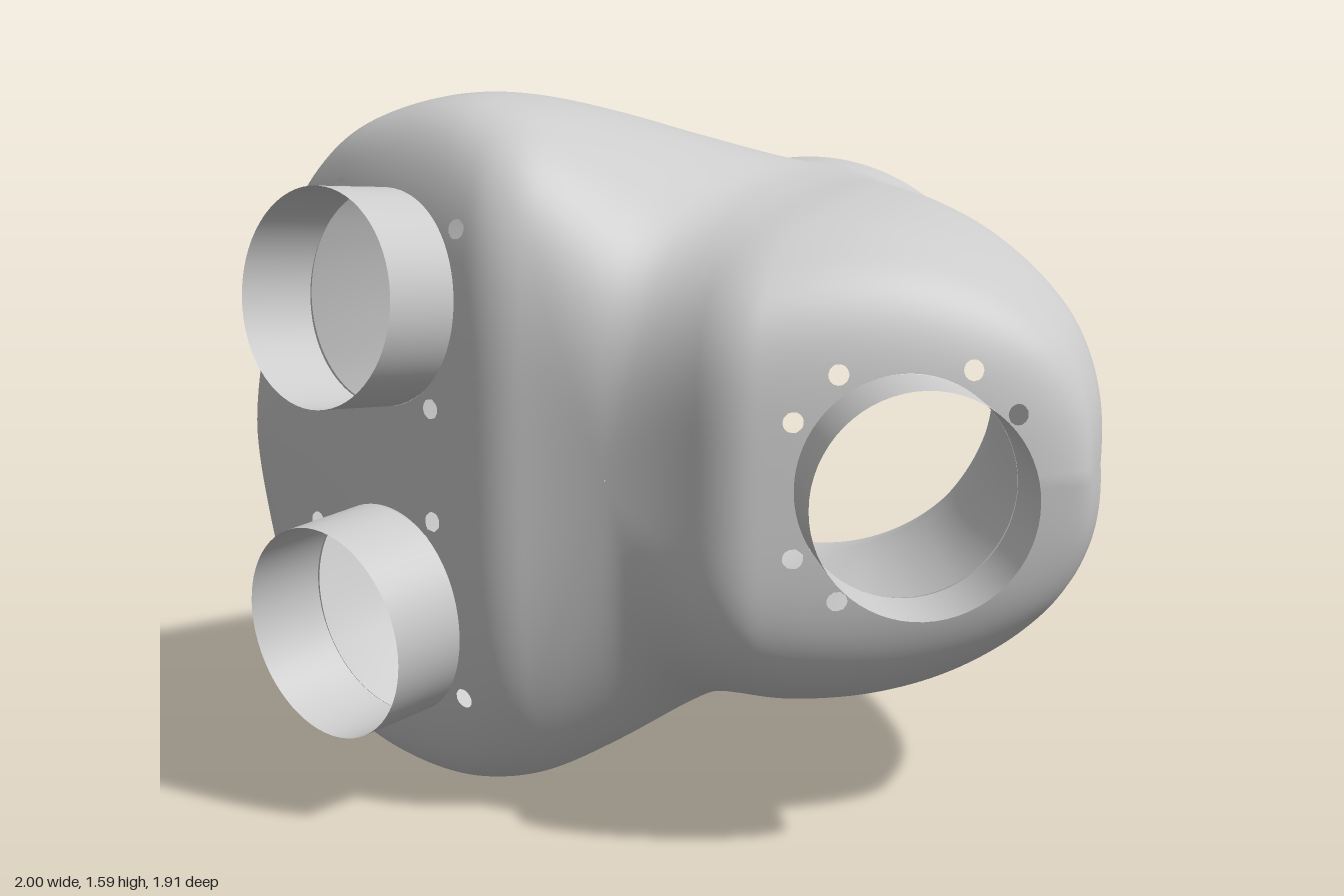
import * as THREE from 'three';

const CY = 0.8;        // height of the symmetry plane
const NECK_R = 0.538;
const material = new THREE.MeshStandardMaterial({ color: 0xcccccc, side: THREE.DoubleSide });
const { lerp, smoothstep } = THREE.MathUtils;

// Short ports on the slanted faces: inner end centre, axis, bolt angles (degrees)
const quad = (...angles) => angles.flatMap(a => [a, a + 90, a + 180, a + 270]);
const ports = [
  { name: 'leftPort', at: [0.64, CY, 0.676], axis: [0.08, 0, 0.175], bolts: quad(31, 59) },
  { name: 'upperRightPort', at: [-0.57, 1.16, 0.68], axis: [-0.077, 0.018, 0.17], bolts: quad(35) },
  { name: 'lowerRightPort', at: [-0.57, 0.44, 0.68], axis: [-0.077, -0.018, 0.17], bolts: quad(-35) },
].map(p => {
  const axis = new THREE.Vector3(...p.axis).normalize();
  const turn = new THREE.Quaternion().setFromUnitVectors(new THREE.Vector3(0, 0, 1), axis);
  return { ...p, at: new THREE.Vector3(...p.at), axis, turn };
});
const PORT_R = 0.245, BOLT_RING = 0.288, BOLT_R = 0.023;

// Every round cut through the front faces
const cuts = ports.flatMap(p => [
  { at: p.at, axis: p.axis, r: PORT_R },
  ...p.bolts.map(deg => {
    const a = THREE.MathUtils.degToRad(deg);
    const offset = new THREE.Vector3(Math.cos(a), Math.sin(a), 0).multiplyScalar(BOLT_RING);
    return { at: offset.applyQuaternion(p.turn).add(p.at), axis: p.axis, r: BOLT_R };
  }),
]);
const tmp = new THREE.Vector3();
function cutDistance(v) {
  if (v.z < 0.4) return 1;
  let d = 1;
  for (const c of cuts) d = Math.min(d, tmp.subVectors(v, c.at).cross(c.axis).length() - c.r);
  return d;
}

// Widest outline: tall lobe at -x, lower lobe at +x, mirrored top to bottom
function outline(count) {
  const top = [[1, 0], [0.985, 0.15], [0.93, 0.28], [0.84, 0.38], [0.7, 0.475], [0.55, 0.535],
    [0.4, 0.565], [0.25, 0.575], [0.15, 0.592], [0.05, 0.635], [-0.1, 0.71], [-0.25, 0.77],
    [-0.43, 0.797], [-0.6, 0.765], [-0.74, 0.695], [-0.86, 0.56], [-0.92, 0.42], [-0.975, 0.2], [-1, 0]];
  const bottom = top.slice(1, -1).reverse().map(([x, y]) => [x, -y]);
  const pts = [...top, ...bottom].map(([x, y]) => new THREE.Vector3(x, y, 0));
  return new THREE.CatmullRomCurve3(pts, true).getSpacedPoints(count).slice(0, count);
}

// Depth at which the shell is widest: further back above and below the low lobe
const steepness = p => Math.abs(p.y) / p.length();
function girthDepth(p) {
  return lerp(0.38, 0, steepness(p) * smoothstep(p.x / p.length(), -0.35, 0.2));
}

// Depth of the front: two slanted faces with a shallow saddle between them
function smoothMin(a, b, k) {
  const h = Math.max(k - Math.abs(a - b), 0) / k;
  return Math.min(a, b) - h * h * k / 4;
}
function frontDepth(x) {
  const saddle = 0.797 + 0.6 * x * x;
  return smoothMin(smoothMin(0.953 + 0.46 * x, 0.975 - 0.465 * x, 0.02), saddle, 0.05);
}

// Domed front: the edge is crisp at the sides and softer at top and bottom
function frontPoint(p, t) {
  const rho = Math.sin(t * Math.PI / 2);
  const n = lerp(6.5, 2.9, steepness(p));
  const x = p.x * rho;
  const dome = t >= 1 ? 0 : Math.pow(1 - Math.pow(rho, n), 1 / n);
  return new THREE.Vector3(x, CY + p.y * rho, lerp(girthDepth(p), frontDepth(x), dome));
}

// Rear: the outline blends into the round neck, straighter above and below than at the sides
function rearPoint(p, u) {
  const ring = new THREE.Vector3(p.x * 0.62, p.y, 0).setLength(NECK_R);
  const v = 1 - u;
  const straight = v * (1 + 0.9 * v * (1 - v));
  const size = lerp(smoothstep(v, 0, 1), straight, 0.9 * smoothstep(steepness(p), 0, 0.6));
  const q = ring.lerp(p, size);
  return new THREE.Vector3(q.x, CY + q.y, lerp(girthDepth(p), -0.84, u));
}

function shellGeometry() {
  const N = 360, FRONT = 90, REAR = 28;
  const ring = outline(N);
  const rows = [];
  for (let i = 0; i <= FRONT; i++) rows.push(ring.map(p => frontPoint(p, Math.max(i / FRONT, 0.001))));
  for (let i = 1; i <= REAR; i++) rows.push(ring.map(p => rearPoint(p, i / REAR)));
  rows.push(rows[rows.length - 1].map(v => v.clone().setZ(-0.955)));

  const verts = rows.flat(), index = [];
  for (let i = 0; i < rows.length - 1; i++) {
    for (let j = 0; j < N; j++) {
      const a = i * N + j, b = a + N, d = i * N + (j + 1) % N, c = d + N;
      index.push(a, b, c, a, c, d);
    }
  }
  const grid = new THREE.BufferGeometry().setFromPoints(verts);
  grid.setIndex(index);
  grid.computeVertexNormals();
  const normals = verts.map((v, i) => new THREE.Vector3().fromBufferAttribute(grid.attributes.normal, i));
  const dist = verts.map(cutDistance);

  // Trim each triangle against the round cuts
  const pos = [], nor = [];
  for (let k = 0; k < index.length; k += 3) {
    const poly = [];
    for (let e = 0; e < 3; e++) {
      const a = index[k + e], b = index[k + (e + 1) % 3];
      if (dist[a] >= 0) poly.push([verts[a], normals[a]]);
      if ((dist[a] >= 0) !== (dist[b] >= 0)) {
        const t = dist[a] / (dist[a] - dist[b]);
        poly.push([verts[a].clone().lerp(verts[b], t), normals[a].clone().lerp(normals[b], t).normalize()]);
      }
    }
    for (let e = 1; e + 1 < poly.length; e++) {
      for (const [v, n] of [poly[0], poly[e], poly[e + 1]]) {
        pos.push(v.x, v.y, v.z);
        nor.push(n.x, n.y, n.z);
      }
    }
  }
  const geo = new THREE.BufferGeometry();
  geo.setAttribute('position', new THREE.Float32BufferAttribute(pos, 3));
  geo.setAttribute('normal', new THREE.Float32BufferAttribute(nor, 3));
  return geo;
}

export function createModel() {
  const model = new THREE.Group();
  model.name = 'splitDuct';

  const shell = new THREE.Mesh(shellGeometry(), material);
  shell.name = 'shell';
  model.add(shell);

  // Open thin-walled port tubes
  const inner = -0.01, outer = 0.19;
  const tube = new THREE.CylinderGeometry(PORT_R, PORT_R, outer - inner, 64, 1, true);
  tube.rotateX(Math.PI / 2).translate(0, 0, (outer + inner) / 2);
  for (const p of ports) {
    const port = new THREE.Mesh(tube, material);
    port.name = p.name;
    port.position.copy(p.at);
    port.quaternion.copy(p.turn);
    model.add(port);
  }
  return model;
}
